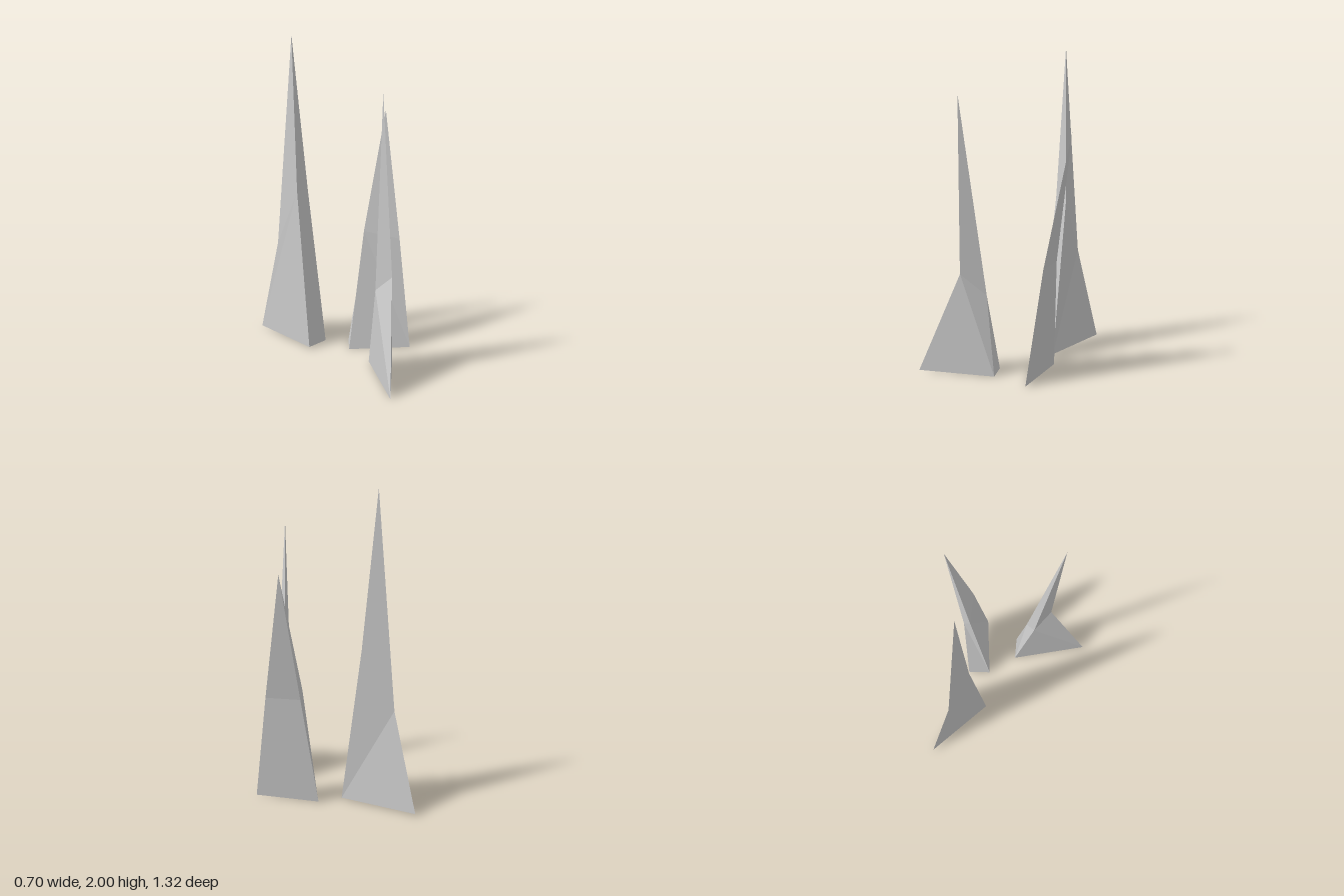
import * as THREE from 'three';

const material = new THREE.MeshStandardMaterial({
  color: 0xcccccc, flatShading: true, side: THREE.DoubleSide,
});

// Bent three-sided blade, open underneath. Rings run counterclockwise from above;
// forward picks which diagonal splits each lower side.
function blade({ name, base, waist, tip, forward }) {
  const points = [...base, ...waist, tip];
  const index = [];
  for (let i = 0; i < 3; i++) {
    const j = (i + 1) % 3;
    if (forward) index.push(i, j, j + 3, i, j + 3, i + 3);
    else index.push(i, j, i + 3, j, j + 3, i + 3);
    index.push(i + 3, j + 3, 6);
  }
  const indexed = new THREE.BufferGeometry();
  indexed.setAttribute('position', new THREE.Float32BufferAttribute(points.flat(), 3));
  indexed.setIndex(index);
  const geometry = indexed.toNonIndexed();
  geometry.computeVertexNormals();
  const mesh = new THREE.Mesh(geometry, material);
  mesh.name = name;
  return mesh;
}

const blades = [
  {
    name: 'tallBackBlade', forward: true,
    base: [[-0.19, 0.01, -0.17], [-0.04, 0.01, -0.17], [-0.165, 0.01, -0.66]],
    waist: [[-0.165, 1.03, -0.29], [-0.067, 1.03, -0.295], [-0.165, 0.65, -0.48]],
    tip: [-0.14, 2, -0.345],
  },
  {
    name: 'leaningLeftBlade', forward: false,
    base: [[-0.02, 0, 0.025], [0.275, 0, 0.29], [0.085, 0, -0.08]],
    waist: [[0.145, 0.76, 0], [0.297, 0.71, 0.172], [0.185, 0.71, -0.018]],
    tip: [0.348, 1.52, 0],
  },
  {
    name: 'frontBlade', forward: false,
    base: [[-0.35, 0, 0.66], [0.03, 0, 0.348], [-0.067, 0, 0.238]],
    waist: [[-0.137, 0.64, 0.48], [-0.055, 0.5, 0.34], [-0.125, 0.52, 0.34]],
    tip: [-0.19, 1.73, 0.443],
  },
];

export function createModel() {
  const group = new THREE.Group();
  group.name = 'grassTuft';
  for (const spec of blades) group.add(blade(spec));
  return group;
}
